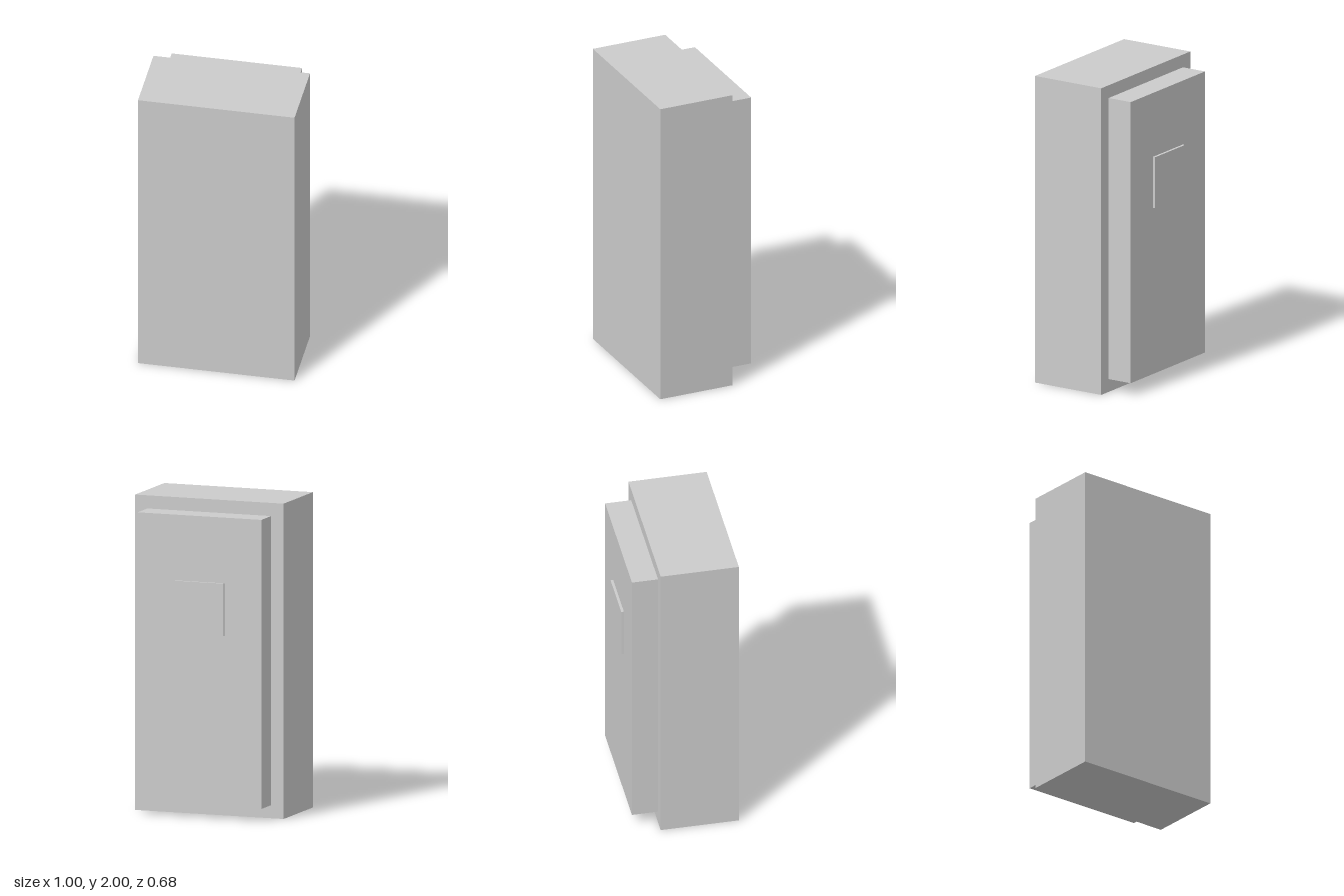
import * as THREE from 'three';

const material = new THREE.MeshStandardMaterial({ color: 0xcccccc, flatShading: true });

// Box centred on x, given its width, its bottom and top, and its back and front
function slab(name, width, y0, y1, z0, z1) {
  const mesh = new THREE.Mesh(new THREE.BoxGeometry(width, y1 - y0, z1 - z0), material);
  mesh.name = name;
  mesh.position.set(0, (y0 + y1) / 2, (z0 + z1) / 2);
  return mesh;
}

export function createModel() {
  const model = new THREE.Group();
  model.name = 'cabinet';
  model.add(
    // Main upright block
    slab('body', 1, 0, 2, -0.1583, 0.3417),
    // Raised panel on the back
    slab('backPanel', 0.8333, 0.0833, 1.9167, -0.325, -0.1583),
    // Thin square plate on the panel
    slab('plate', 0.3333, 1.1667, 1.5, -0.3417, -0.325)
  );
  return model;
}
